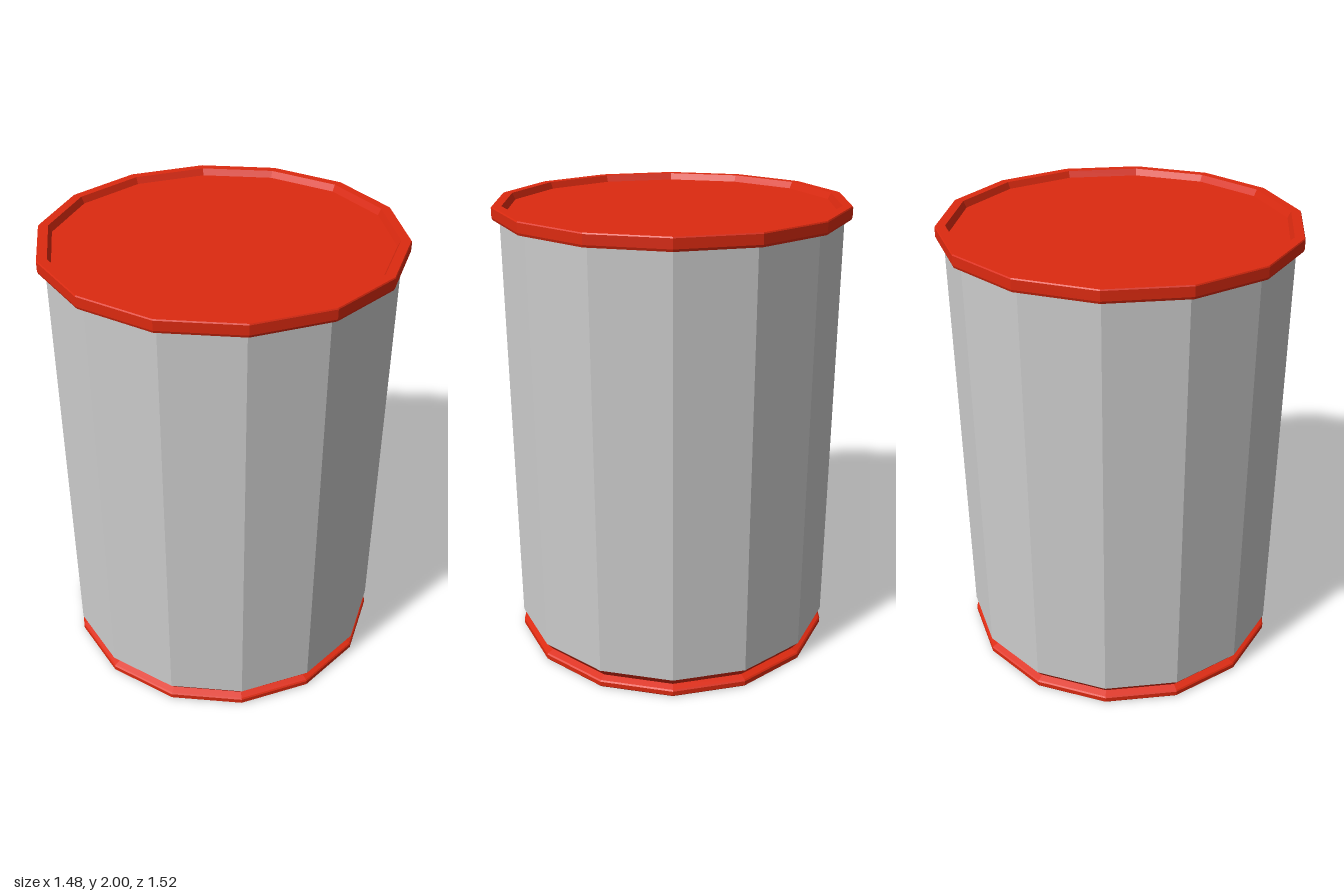
import * as THREE from 'three';

const SIDES = 14;

// Faceted solid of revolution; the profile runs bottom to top as [radius, y]
function turned(name, profile, material) {
  const points = profile.map(([r, y]) => new THREE.Vector2(r, y));
  const mesh = new THREE.Mesh(new THREE.LatheGeometry(points, SIDES), material);
  mesh.name = name;
  return mesh;
}

export function createModel() {
  const red = new THREE.MeshStandardMaterial({ color: 0xdd2a10, flatShading: true });
  const grey = new THREE.MeshStandardMaterial({ color: 0xcccccc, flatShading: true });
  const group = new THREE.Group();
  group.name = 'canister';

  // Base: closed underside, thin rim, groove and flare up to the wall
  group.add(turned('base', [
    [0, 0], [0.722, 0], [0.727, 0.006], [0.727, 0.026], [0.722, 0.032],
    [0.693, 0.042], [0.726, 0.083],
  ], red));

  // Plain wall
  const wall = new THREE.Mesh(
    new THREE.CylinderGeometry(0.726, 0.726, 1.865, SIDES, 1, true), grey);
  wall.position.y = 0.083 + 1.865 / 2;
  wall.name = 'wall';
  group.add(wall);

  // Lid: overhanging rim with a shallow recessed top
  group.add(turned('lid', [
    [0.726, 1.945], [0.754, 1.945], [0.758, 1.955], [0.758, 1.995], [0.755, 2],
    [0.715, 2], [0.702, 1.972], [0, 1.972],
  ], red));

  return group;
}
